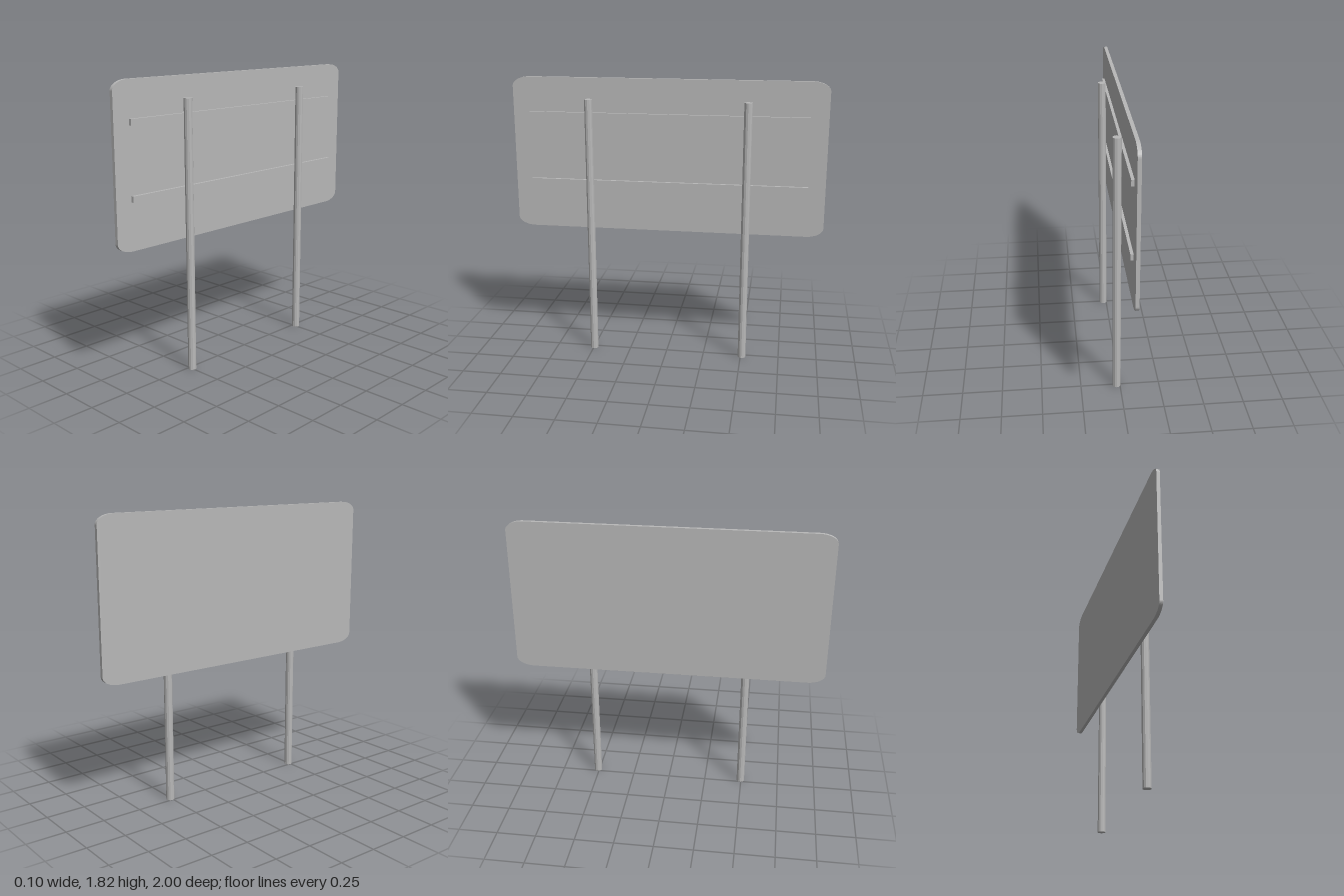
import * as THREE from 'three';

export function createModel() {
  const group = new THREE.Group();
  const grey = new THREE.MeshStandardMaterial({ color: 0xb8b8b8 });
  grey.name = 'grey metal';
  grey.flatShading = true;

  const add = (name, geometry, x, y, z) => {
    const mesh = new THREE.Mesh(geometry, grey);
    mesh.name = name;
    mesh.position.set(x, y, z);
    group.add(mesh);
  };

  // Sign panel: rectangle with elliptical corners, facing -x
  const w = 1, h = 0.492, rx = 0.11, ry = 0.06;
  const shape = new THREE.Shape();
  const corners = [[1, 1, 0], [-1, 1, 1], [-1, -1, 2], [1, -1, 3]];
  for (const [sx, sy, quarter] of corners) {
    const start = quarter * Math.PI / 2;
    shape.absellipse(sx * (w - rx), sy * (h - ry), rx, ry, start, start + Math.PI / 2, false);
  }
  shape.closePath();
  const panel = new THREE.ExtrudeGeometry(shape, { depth: 0.022, bevelEnabled: false, curveSegments: 8 });
  panel.rotateY(Math.PI / 2);
  add('panel', panel, -0.052, 1.332, 0);

  // Horizontal rails on the back of the panel
  for (const [name, y] of [['upperRail', 1.586], ['lowerRail', 1.148]]) {
    add(name, new THREE.BoxGeometry(0.018, 0.037, 1.785), -0.021, y, 0);
  }

  // Round support posts
  for (const [name, z] of [['frontPost', 0.496], ['backPost', -0.508]]) {
    add(name, new THREE.CylinderGeometry(0.026, 0.026, 1.695, 12), 0.022, 0.8475, z);
  }
  return group;
}
